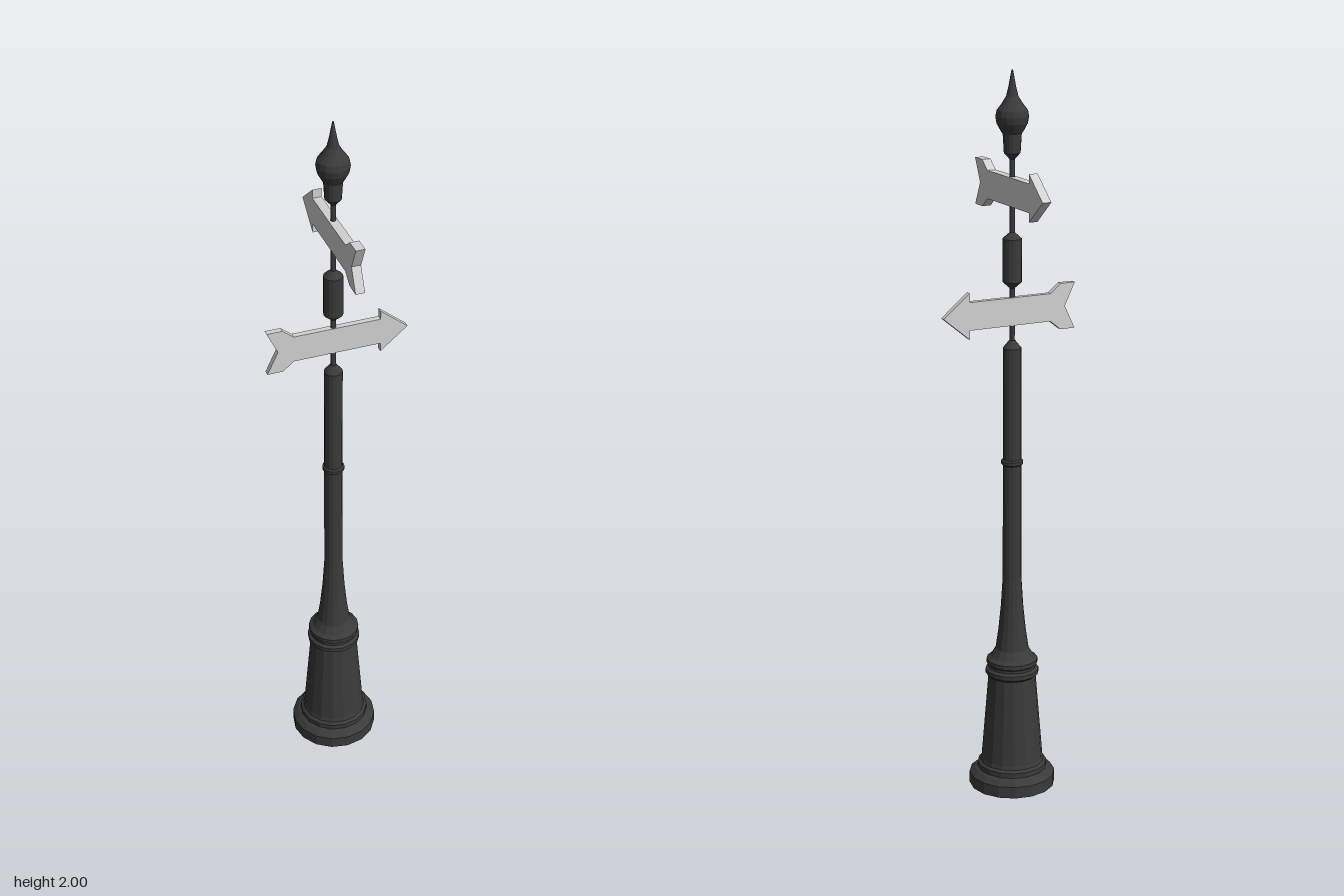
import * as THREE from 'three';

const iron = new THREE.MeshStandardMaterial({ color: 0x3a3a3a, side: THREE.DoubleSide });
iron.name = 'dark iron';
const paint = new THREE.MeshStandardMaterial({ color: 0xd2d2d2 });
paint.name = 'light grey paint';

const AXIS_X = -0.01;

// Faceted 16-sided turned part from [radius, height] pairs, bottom to top
function turned(name, profile) {
  const points = profile.map(([r, y]) => new THREE.Vector2(r, y));
  const geometry = new THREE.LatheGeometry(points, 16).toNonIndexed();
  geometry.computeVertexNormals();
  const mesh = new THREE.Mesh(geometry, iron);
  mesh.name = name;
  mesh.position.x = AXIS_X;
  return mesh;
}

// Arrow board pointing along +x, centred on its own origin
function arrow(name, thickness) {
  const upper = [[-0.195, 0.063], [-0.152, 0.063], [-0.121, 0.038], [0.119, 0.038], [0.119, 0.063]];
  const lower = upper.map(([x, y]) => [x, -y]).reverse();
  const outline = [[-0.165, 0], ...upper, [0.195, 0], ...lower];
  const shape = new THREE.Shape(outline.map(([x, y]) => new THREE.Vector2(x, y)));
  const geometry = new THREE.ExtrudeGeometry(shape, { depth: thickness, bevelEnabled: false });
  geometry.translate(0, 0, -thickness / 2);
  const mesh = new THREE.Mesh(geometry, paint);
  mesh.name = name;
  return mesh;
}

export function createModel() {
  const model = new THREE.Group();
  model.name = 'signpost';

  // Hollow stepped foot and tapering pedestal
  model.add(turned('base', [
    [0.12, 0], [0.12, 0.033], [0.106, 0.046], [0.097, 0.05], [0.097, 0.064],
    [0.089, 0.07], [0.086, 0.08], [0.066, 0.325],
  ]));

  // Double ring on top of the pedestal
  model.add(turned('collar', [
    [0.066, 0.325], [0.074, 0.332], [0.074, 0.344], [0.066, 0.35], [0.066, 0.358],
    [0.071, 0.362], [0.071, 0.374], [0.06, 0.382], [0.046, 0.405],
  ]));

  // Flared column with a small ring halfway up
  model.add(turned('column', [
    [0.046, 0.405], [0.038, 0.46], [0.031, 0.53], [0.026, 0.61], [0.025, 0.935],
    [0.03, 0.939], [0.03, 0.948], [0.025, 0.952], [0.025, 1.262], [0.008, 1.283],
  ]));

  // Thin rod carrying both boards
  model.add(turned('rod', [[0.007, 1.27], [0.007, 1.79]]));

  // Spacer between the boards
  model.add(turned('spacer', [
    [0.007, 1.425], [0.026, 1.442], [0.026, 1.558], [0.007, 1.575],
  ]));

  // Bulb and spike
  model.add(turned('finial', [
    [0.007, 1.768], [0.022, 1.785], [0.025, 1.835], [0.029, 1.84], [0.041, 1.862],
    [0.044, 1.88], [0.041, 1.896], [0.028, 1.913], [0.016, 1.932], [0.01, 1.957], [0.002, 2.0],
  ]));

  // Lower board points to the left, upper board points to the back
  const lowerSign = arrow('lowerSign', 0.016);
  lowerSign.position.y = 1.362;
  const upperSign = arrow('upperSign', 0.025);
  upperSign.position.set(AXIS_X, 1.684, 0);
  upperSign.rotation.y = Math.PI / 2;
  model.add(lowerSign, upperSign);

  return model;
}
